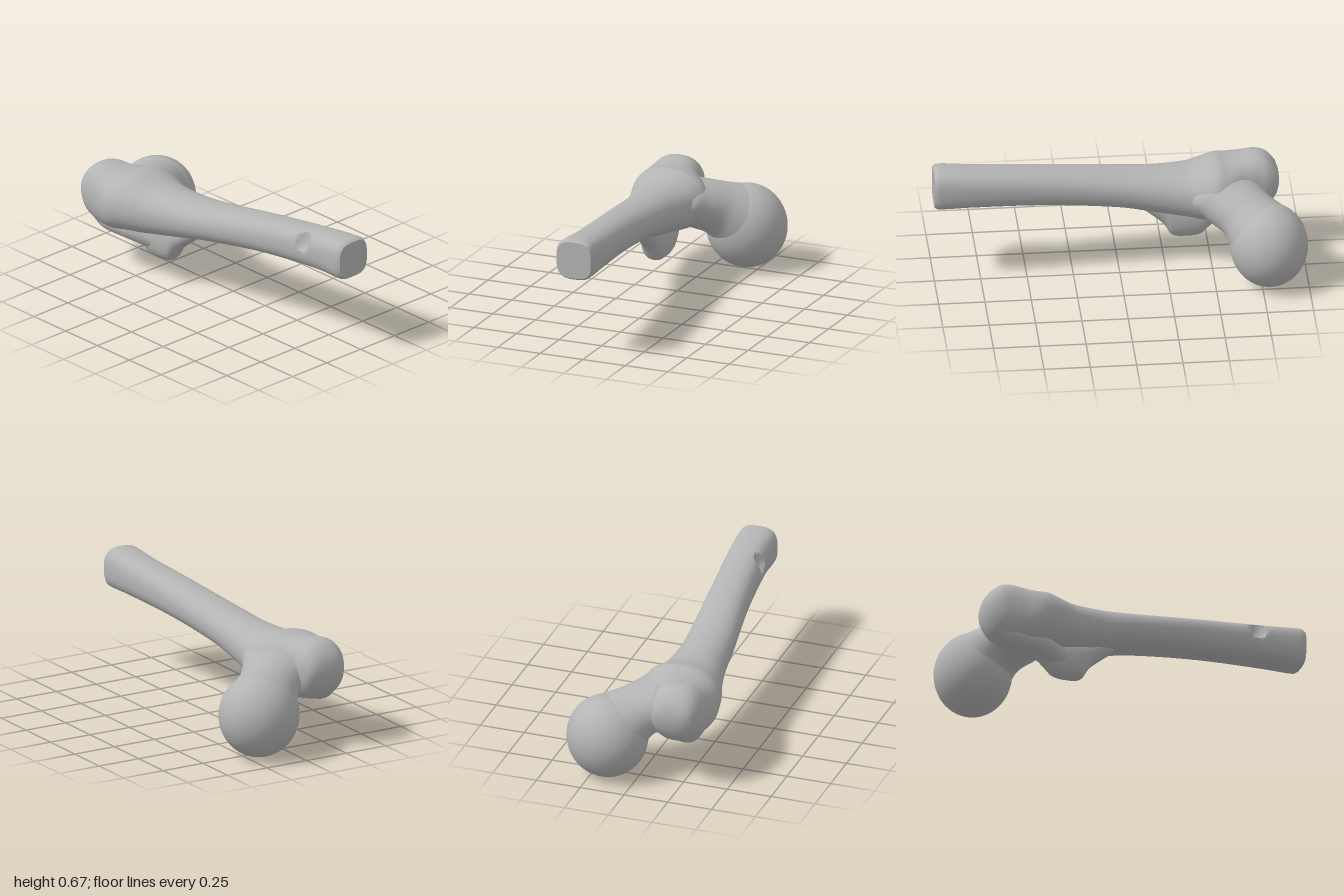
import * as THREE from 'three';
import { toCreasedNormals } from 'three/addons/utils/BufferGeometryUtils.js';

// Smooth interpolation through rows [s, ...values] with uneven spacing
function sampleRows(rows, s) {
  let i = 0;
  while (i < rows.length - 2 && s > rows[i + 1][0]) i++;
  const a = rows[i], b = rows[i + 1], h = b[0] - a[0], t = (s - a[0]) / h;
  const slope = (k, c) => {
    const p = rows[Math.max(k - 1, 0)], n = rows[Math.min(k + 1, rows.length - 1)];
    return (n[c] - p[c]) / (n[0] - p[0]);
  };
  return a.map((_, c) => {
    const t2 = t * t, t3 = t2 * t;
    return a[c] * (2 * t3 - 3 * t2 + 1) + slope(i, c) * h * (t3 - 2 * t2 + t)
      + b[c] * (3 * t2 - 2 * t3) + slope(i + 1, c) * h * (t3 - t2);
  });
}

// Closed loft along z; rows are [z, xMin, xMax, yMin, yMax, squareness]
function loft(rows, steps, sides, deform) {
  const stations = rows.map(r => r[0]);
  const z0 = stations[0], z1 = stations[rows.length - 1];
  for (let i = 1; i < steps; i++) {
    const z = z0 + (z1 - z0) * i / steps;
    if (stations.every(q => Math.abs(q - z) > 0.004)) stations.push(z);
  }
  stations.sort((a, b) => a - b);
  const pos = [], index = [], v = new THREE.Vector3();
  const push = (x, y, z) => {
    v.set(x, y, z);
    if (deform) deform(v);
    pos.push(v.x, v.y, v.z);
  };
  const bend = (c, n) => Math.sign(c) * Math.pow(Math.abs(c), 2 / n);
  stations.forEach((z, i) => {
    const [, xa, xb, ya, yb, n] = sampleRows(rows, z);
    for (let j = 0; j < sides; j++) {
      const a = j / sides * Math.PI * 2;
      push((xa + xb) / 2 + (xb - xa) / 2 * bend(Math.cos(a), n),
        (ya + yb) / 2 + (yb - ya) / 2 * bend(Math.sin(a), n), z);
      if (i === 0) continue;
      const k = (j + 1) % sides, p = (i - 1) * sides, q = i * sides;
      index.push(p + j, p + k, q + j, p + k, q + k, q + j);
    }
  });
  // End caps
  const last = (stations.length - 1) * sides, c = stations.length * sides;
  for (const r of [rows[0], rows[rows.length - 1]]) push((r[1] + r[2]) / 2, (r[3] + r[4]) / 2, r[0]);
  for (let j = 0; j < sides; j++) {
    const k = (j + 1) % sides;
    index.push(c, k, j, c + 1, last + j, last + k);
  }
  const g = new THREE.BufferGeometry();
  g.setAttribute('position', new THREE.Float32BufferAttribute(pos, 3));
  g.setIndex(index);
  return toCreasedNormals(g, 0.75);
}

export function createModel() {
  const model = new THREE.Group();
  model.name = 'upperThighBone';
  const bone = new THREE.MeshStandardMaterial({ color: 0xb4b4b4 });
  bone.name = 'boneGrey';
  const add = (name, geometry) => {
    const mesh = new THREE.Mesh(geometry, bone);
    mesh.name = name;
    model.add(mesh);
    return mesh;
  };

  // Shaft widening into the large outer knob, with a small pit near the cut end
  const pit = new THREE.Vector3(-0.15, 0.59, 0.72);
  add('shaftAndGreaterTrochanter', loft([
    [-0.873, -0.28, -0.15, 0.4, 0.47, 2.2],
    [-0.86, -0.315, -0.115, 0.35, 0.51, 2.3],
    [-0.81, -0.352, -0.085, 0.28, 0.565, 2.4],
    [-0.75, -0.365, -0.072, 0.25, 0.585, 2.4],
    [-0.68, -0.376, -0.04, 0.24, 0.578, 2.4],
    [-0.6, -0.392, 0.03, 0.24, 0.575, 2.3],
    [-0.53, -0.383, 0.06, 0.25, 0.585, 2.2],
    [-0.45, -0.362, 0.045, 0.262, 0.565, 2.2],
    [-0.38, -0.336, 0.022, 0.275, 0.55, 2.2],
    [-0.2, -0.293, -0.003, 0.31, 0.55, 2.2],
    [0, -0.27, -0.005, 0.355, 0.565, 2.2],
    [0.4, -0.21, 0.02, 0.41, 0.615, 2.4],
    [0.8, -0.168, 0.05, 0.437, 0.655, 2.7],
    [0.98, -0.163, 0.055, 0.44, 0.668, 3],
    [1, -0.152, 0.047, 0.452, 0.655, 3.2],
  ], 120, 40, v => {
    const d = v.distanceTo(pit) / 0.055;
    if (d < 1) {
      const depth = 0.035 * (1 - d * d);
      v.x += depth;
      v.y -= depth * 0.6;
    }
  }));

  // Ball of the hip joint
  const head = add('head', new THREE.SphereGeometry(1, 40, 28));
  head.scale.set(0.222, 0.23, 0.21);
  head.position.set(0.17, 0.23, -0.79);

  // Neck flaring into both the shaft and the ball, lofted along its own axis
  const neck = add('neck', loft([
    [-0.1, 0.16, 0.04, 0],
    [0, 0.215, 0.11, 0.005],
    [0.11, 0.187, 0.136, 0.014],
    [0.22, 0.168, 0.147, 0.028],
    [0.31, 0.184, 0.178, 0.022],
    [0.4, 0.207, 0.212, 0.008],
  ].map(([s, w, h, y]) => [s, -w, w, y - h, y + h, 2]), 28, 40));
  neck.position.set(-0.12, 0.42, -0.55);
  neck.lookAt(head.position);

  // Small inner knob on the underside
  add('lesserTrochanter', loft([
    [-0.64, -0.21, -0.13, 0.25, 0.36, 2],
    [-0.55, -0.23, -0.11, 0.218, 0.36, 2],
    [-0.49, -0.235, -0.095, 0.175, 0.36, 2.2],
    [-0.45, -0.235, -0.09, 0.14, 0.36, 2.4],
    [-0.37, -0.235, -0.088, 0.128, 0.36, 2.4],
    [-0.29, -0.228, -0.092, 0.143, 0.365, 2.4],
    [-0.25, -0.22, -0.1, 0.205, 0.37, 2.2],
    [-0.19, -0.215, -0.105, 0.26, 0.38, 2],
    [-0.1, -0.19, -0.13, 0.33, 0.4, 2],
  ], 36, 28));

  // Ridge running between the two knobs
  const ridge = new THREE.CatmullRomCurve3([
    new THREE.Vector3(-0.25, 0.34, -0.8), new THREE.Vector3(-0.265, 0.285, -0.7),
    new THREE.Vector3(-0.25, 0.27, -0.56), new THREE.Vector3(-0.18, 0.23, -0.42),
  ]);
  add('intertrochantericCrest', new THREE.TubeGeometry(ridge, 24, 0.06, 16));

  return model;
}
